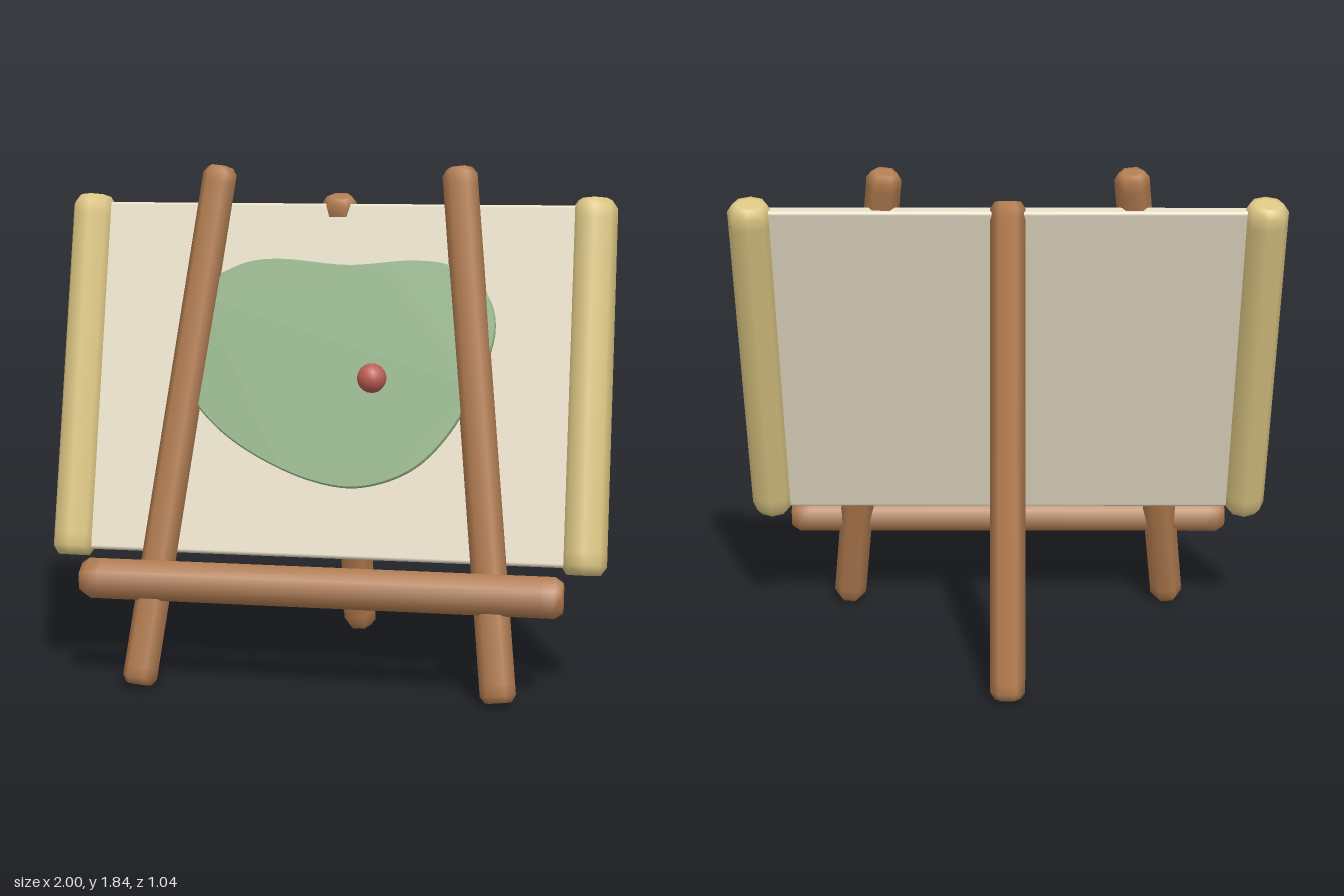
import * as THREE from 'three';
import { RoundedBoxGeometry } from 'three/addons/geometries/RoundedBoxGeometry.js';

const material = (color) => new THREE.MeshStandardMaterial({ color });

// Prism along y with softly bevelled ends; corners lie on the x axis
function poleGeometry(radius, length, sides) {
  const h = length / 2;
  const b = radius * 0.38;
  const profile = [
    [0, -h], [radius * 0.5, -h], [radius * 0.74, -h], [radius, -h + b], [radius, -h + b * 2.5],
    [radius, h - b * 2.5], [radius, h - b], [radius * 0.74, h], [radius * 0.5, h], [0, h],
  ].map(([x, y]) => new THREE.Vector2(x, y));
  return new THREE.LatheGeometry(profile, sides, Math.PI / 2);
}

// Six-sided pole running between two points
function poleBetween(name, from, to, radius, mat) {
  const a = new THREE.Vector3(...from);
  const b = new THREE.Vector3(...to);
  const pole = new THREE.Mesh(poleGeometry(radius, a.distanceTo(b), 6), mat);
  pole.name = name;
  pole.position.copy(a).add(b).multiplyScalar(0.5);
  pole.quaternion.setFromUnitVectors(new THREE.Vector3(0, 1, 0), b.sub(a).normalize());
  return pole;
}

export function createModel() {
  const model = new THREE.Group();
  model.name = 'easel';
  const wood = material(0xb27c50);
  const rollMat = material(0xdcc683);

  // Tripod legs
  for (const [side, s] of [['left', 1], ['right', -1]]) {
    model.add(poleBetween(side + 'FrontLeg', [s * 0.643, 0.02, 0.473], [s * 0.437, 1.84, 0.008], 0.063, wood));
  }
  model.add(poleBetween('backLeg', [0, 0.02, -0.475], [0, 1.737, -0.005], 0.063, wood));

  // Ledge bar across the front legs
  const ledge = new THREE.Mesh(poleGeometry(0.074, 1.715, 6), wood);
  ledge.name = 'ledgeBar';
  ledge.rotation.z = Math.PI / 2;
  ledge.position.set(0, 0.39, 0.43);
  model.add(ledge);

  // Leaning scroll, built upright and then tilted back
  const scroll = new THREE.Group();
  scroll.name = 'scroll';
  scroll.position.set(0, 1.09, 0.16);
  scroll.rotation.x = THREE.MathUtils.degToRad(-15);
  model.add(scroll);

  const sheet = new THREE.Mesh(new RoundedBoxGeometry(1.74, 1.28, 0.05, 2, 0.012), material(0xe5dcc5));
  sheet.name = 'sheet';
  scroll.add(sheet);

  // Rolled edges
  for (const [side, s] of [['left', 1], ['right', -1]]) {
    const roll = new THREE.Mesh(poleGeometry(0.08, 1.325, 8), rollMat);
    roll.name = side + 'Roll';
    roll.position.x = s * 0.92;
    scroll.add(roll);
  }

  // Raised land patch with a wavy outline
  const outline = [
    [-0.41, 1.465], [-0.31, 1.505], [-0.18, 1.515], [0.05, 1.497], [0.28, 1.515], [0.43, 1.495],
    [0.55, 1.405], [0.585, 1.27], [0.53, 1.09], [0.43, 0.91], [0.3, 0.785], [0.12, 0.725],
    [-0.06, 0.745], [-0.25, 0.82], [-0.4, 0.915], [-0.5, 1.03], [-0.525, 1.2], [-0.49, 1.37],
  ].map(([x, y]) => new THREE.Vector2(x, (y - 1.1) / 0.966));
  const shape = new THREE.Shape().moveTo(outline[0].x, outline[0].y);
  shape.splineThru([...outline.slice(1), outline[0]]);
  const land = new THREE.Mesh(
    new THREE.ExtrudeGeometry(shape, {
      depth: 0.022, curveSegments: 54,
      bevelThickness: 0.005, bevelSize: 0.005, bevelOffset: -0.005, bevelSegments: 1,
    }),
    material(0x8fb083),
  );
  land.name = 'landPatch';
  land.position.z = 0.019;
  scroll.add(land);

  // Round marker
  const marker = new THREE.Mesh(new THREE.SphereGeometry(0.053, 14, 10), material(0xbc5f55));
  marker.name = 'marker';
  marker.position.set(0.155, 0.002, 0.056);
  scroll.add(marker);

  return model;
}
